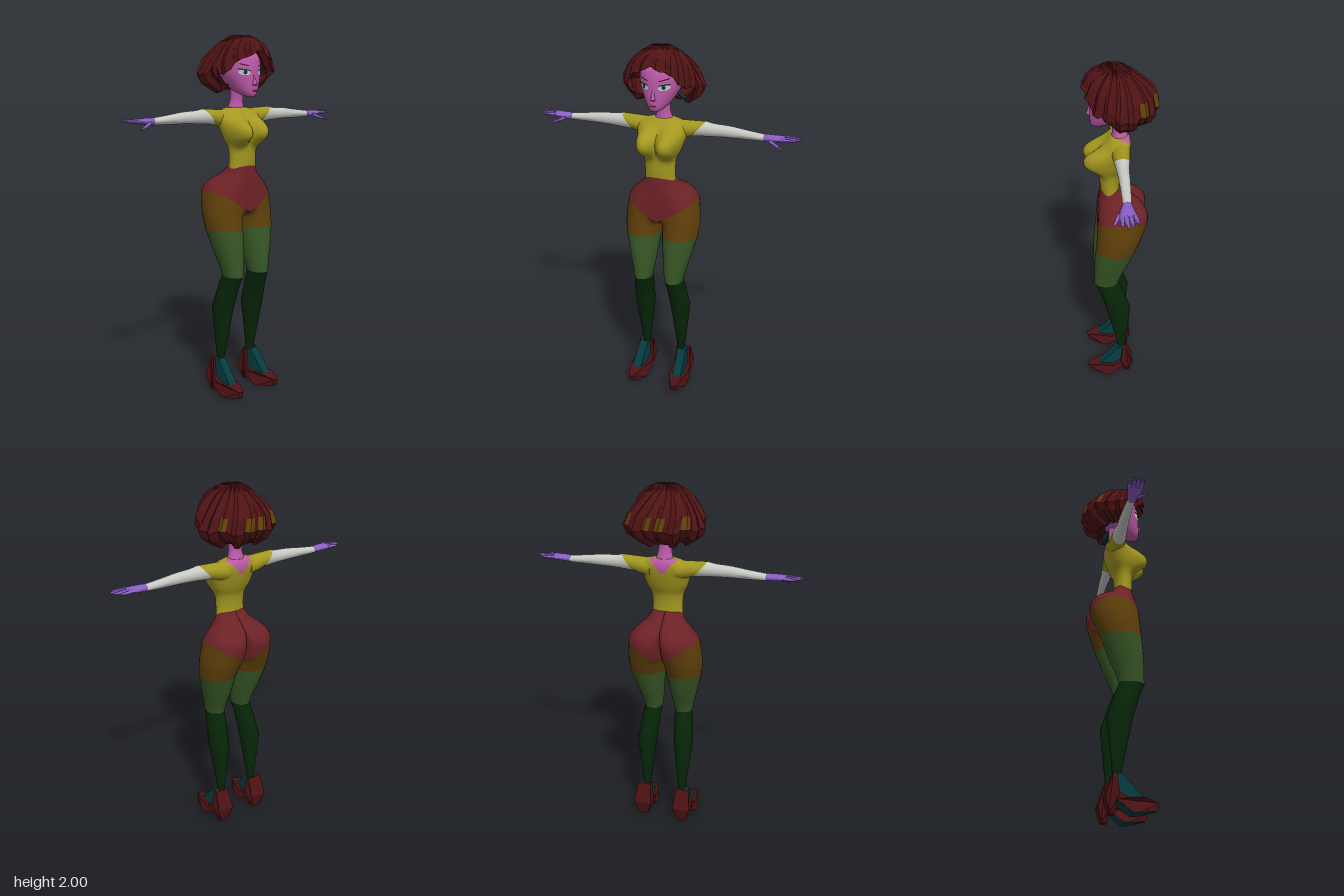
import * as THREE from 'three';
import { toCreasedNormals } from 'three/addons/utils/BufferGeometryUtils.js';

const colour = (name, hex, side = THREE.FrontSide) => {
  const m = new THREE.MeshStandardMaterial({ color: hex, side });
  m.name = name;
  return m;
};

export function createModel() {
  const model = new THREE.Group();
  model.name = 'figure';
  const shirt = colour('shirt yellow', 0xa49820, THREE.DoubleSide);
  const briefs = colour('brief red', 0x6c2226);
  const shorts = colour('shorts brown', 0x60400a, THREE.DoubleSide);
  const stocking = colour('stocking green', 0x385826);
  const boot = colour('calf dark green', 0x062608);
  const maroon = colour('hair and shoe maroon', 0x4e1214, THREE.DoubleSide);
  const teal = colour('foot teal', 0x053b3f, THREE.DoubleSide);
  const skin = colour('skin pink', 0xbc5aa8);
  const glove = colour('glove violet', 0x8a5fc4);
  const sleeve = colour('sleeve pale grey', 0xc9c9c5);

  const add = (name, geo, mat) => {
    const mesh = new THREE.Mesh(geo, mat);
    mesh.name = name;
    model.add(mesh);
  };

  // Skin a list of closed rings of points; pick() chooses a material for each quad
  function loft(name, rings, mats, { cap = true, crease = 1, pick = () => 0 } = {}) {
    const n = rings[0].length, pos = rings.flat(2);
    const lists = [].concat(mats).map(() => []);
    for (let j = 0; j < rings.length - 1; j++) {
      for (let i = 0; i < n; i++) {
        const a = j * n + i, b = j * n + (i + 1) % n, c = a + n, d = b + n;
        const mid = [0, 1, 2].map(k => (pos[a * 3 + k] + pos[b * 3 + k] + pos[c * 3 + k] + pos[d * 3 + k]) / 4);
        lists[pick(mid, j, i)].push(a, c, b, b, c, d);
      }
    }
    if (cap) {
      for (const j of [0, rings.length - 1]) {
        const centre = [0, 1, 2].map(k => rings[j].reduce((s, p) => s + p[k], 0) / n);
        const c = pos.length / 3;
        pos.push(...centre);
        for (let i = 0; i < n; i++) {
          const a = j * n + i, b = j * n + (i + 1) % n;
          lists[0].push(...(j ? [a, c, b] : [a, b, c]));
        }
      }
    }
    // Turn the faces outward whichever way the rings run
    const v = i => new THREE.Vector3().fromArray(pos, i * 3).sub(new THREE.Vector3(...rings[0][0]));
    let volume = 0;
    for (const l of lists) for (let i = 0; i < l.length; i += 3) volume += v(l[i]).dot(v(l[i + 1]).cross(v(l[i + 2])));
    if (volume < 0) for (const l of lists) l.reverse();
    const geo = new THREE.BufferGeometry();
    geo.setAttribute('position', new THREE.Float32BufferAttribute(pos, 3));
    geo.setIndex(lists.flat());
    if (Array.isArray(mats)) {
      let start = 0;
      lists.forEach((l, k) => { geo.addGroup(start, l.length, k); start += l.length; });
    }
    add(name, toCreasedNormals(geo, crease), mats);
  }

  // Smoothly add rows between given profile rows
  function dense(rows, n = 4) {
    const out = [];
    for (let j = 0; j < rows.length - 1; j++) {
      const [p, a, b, q] = [rows[Math.max(j - 1, 0)], rows[j], rows[j + 1], rows[Math.min(j + 2, rows.length - 1)]];
      for (let s = 0; s < n; s++) {
        const t = s / n;
        out.push(a.map((y, k) => y + 0.5 * t * (b[k] - p[k] + t * (2 * p[k] - 5 * y + 4 * b[k] - q[k] + t * (3 * (y - b[k]) + q[k] - p[k])))));
      }
    }
    out.push(rows.at(-1));
    return out;
  }
  const angles = n => Array.from({ length: n }, (_, i) => i / n * Math.PI * 2);

  // Upright oval ring from [y, halfWidth, zFront, zBack]
  const oval = ([y, rx, zf, zb], n = 32) => angles(n).map(a =>
    [Math.cos(a) * rx, y, (zf + zb) / 2 + Math.sin(a) * (zf - zb) / 2]);

  // Shirt body with a rounded bust, and a skin V at the nape
  const torso = dense([[1.29, .087, .1, -.002], [1.35, .085, .104, 0], [1.41, .091, .103, -.008], [1.46, .113, .1, -.03],
    [1.52, .133, .098, -.05], [1.57, .148, .075, -.06], [1.6, .125, .055, -.056], [1.618, .06, .04, -.048]], 5);
  const bust = ([x, y, z]) => {
    const d = ((Math.abs(x) - .064) / .06) ** 2 + ((y - 1.487) / (y > 1.487 ? .078 : .062)) ** 2;
    return [x, y, z + THREE.MathUtils.clamp((z - .03) / .04, 0, 1) * .095 * Math.exp(-(d ** 1.35))];
  };
  loft('shirt', torso.map(r => oval(r, 56).map(bust)), [shirt, skin],
    { pick: ([x, y, z]) => (z < -.005 && y > 1.545 && Math.abs(x) < (y - 1.535) * .9 ? 1 : 0) });

  // Neck and head
  loft('neck', dense([[1.59, .055, .04, -.045], [1.62, .046, .038, -.044], [1.66, .036, .036, -.034], [1.74, .038, .05, -.035]], 3)
    .map(r => oval(r, 20)), skin);
  const headRows = dense([[1.675, .014, .135, .1], [1.685, .034, .145, .06], [1.71, .06, .148, 0], [1.745, .083, .149, -.05],
    [1.79, .104, .147, -.08], [1.84, .113, .145, -.1], [1.89, .105, .13, -.1], [1.94, .06, .08, -.05]]);
  loft('head', headRows.map(r => oval(r)), skin);
  const faceZ = (x, y) => {
    const j = Math.max(1, headRows.findIndex(r => r[0] >= y)), [a, b] = [headRows[j - 1], headRows[j]];
    const t = (y - a[0]) / (b[0] - a[0]);
    const [, rx, zf, zb] = a.map((q, k) => q + (b[k] - q) * t);
    return (zf + zb) / 2 + (zf - zb) / 2 * Math.sqrt(Math.max(0, 1 - (x / rx) ** 2));
  };

  // Thin facial details laid over the curve of the face
  function decal(name, x, y, w, h, tilt, mat, lift) {
    const geo = new THREE.CircleGeometry(1, 18).scale(w, h, 1).rotateZ(tilt).translate(x, y, 0);
    const p = geo.attributes.position;
    for (let i = 0; i < p.count; i++) p.setZ(i, faceZ(p.getX(i), p.getY(i)) + lift);
    geo.computeVertexNormals();
    add(name, geo, mat);
  }
  for (const s of [1, -1]) {
    decal('eye', s * .054, 1.803, .028, .014, s * .15, sleeve, .003);
    decal('iris', s * .053, 1.804, .009, .011, 0, teal, .005);
    decal('lashes', s * .055, 1.817, .03, .0035, s * .15, teal, .005);
    decal('eyebrow', s * .055, 1.842, .028, .003, s * .25, maroon, .004);
  }
  decal('lips', 0, 1.708, .02, .006, 0, briefs, .004);
  loft('nose', [[1.735, .013, .152, .13], [1.742, .014, .166, .13], [1.755, .01, .162, .13], [1.79, .006, .149, .13]]
    .map(r => oval(r, 10)), skin);

  // Bobbed hair: ridged locks falling from the crown, short over the forehead.
  // Rows hold the height, then the reach at the sides, back and fringe
  const locks = 18;
  const hairProfile = [[1.99, 0, 0, 0], [1.988, .25, .22, .28], [1.96, .5, .46, .53], [1.912, .67, .75, .72], [1.86, .83, .96, .86],
    [1.795, 1.01, 1, .96], [1.75, .93, .88, .98], [1.705, .64, .58, .99], [1.745, .42, .42, .97]];
  const hairRings = hairProfile.map(([y, sideReach, backReach, fringe], j) => angles(locks * 3).map((a, i) => {
    const off = Math.abs(a > Math.PI ? a - Math.PI * 2 : a), lock = Math.floor(i / 3);
    const front = THREE.MathUtils.clamp((1.5 - off) / .35, 0, 1);
    const end = THREE.MathUtils.lerp(1.705, 1.915 - off * .105, front) + .014 * Math.sin(lock * 2.4);
    const twist = a + (1 - sideReach) * .4 * (1 - front * j / 8);
    const c = Math.cos(twist);
    const full = THREE.MathUtils.lerp(sideReach, backReach, Math.max(0, -c));
    const radius = THREE.MathUtils.lerp(full, fringe, front) * [.95, 1.04, 1][i % 3];
    const drop = front > 0 && j === 8 ? 1.705 : y;
    const fall = 1.99 - (1.99 - drop) * (1.99 - end) / .285 + (j < 2 && i % 3 === 1 ? .008 : 0);
    return [Math.sin(twist) * radius * .213, fall, c * radius * (c > 0 ? .172 : .195) + (1 - sideReach) * (.04 - .01 * front)];
  }));
  const paleLocks = [6, 8, 9, 11];
  loft('hair', hairRings, [maroon, shorts, teal], { cap: false, crease: .1,
    pick: ([x, , z], j, i) => {
      if (j === 7 && z < .02 && z > -.07 && Math.abs(x) > .07) return 2;
      return j === 4 && paleLocks.includes(Math.floor(i / 3)) && i % 3 < 2 ? 1 : 0;
    } });

  // Leg ring from [y, centreX, innerReach, outerReach, zFront, zBack, tilt];
  // above the crotch the inner half squares off so that both sides join
  const legRing = s => ([y, cx, ri, ro, zf, zb, k = 0]) => angles(28).map(a => {
    const c = Math.cos(a), n = Math.sin(a);
    const inner = n > 0 ? THREE.MathUtils.clamp((1.11 - y) / .08, 0, 1) : THREE.MathUtils.clamp((1.25 - y) / .2, .1, 1);
    const power = c < 0 ? inner : 1;
    const x = cx + c * (c > 0 ? ro : ri);
    return [s * x, y + k * (x - cx), (zf + zb) / 2 + Math.sign(n) * Math.abs(n) ** power * (zf - zb) / 2];
  });
  const briefLine = [1.11, .095, .095, .101, .122, -.147, .62];
  const shortsHem = [.96, .105, .097, .102, .135, -.09, 0];
  const knee = [.7, .092, .051, .051, .148, .01, 0];

  // Arm ring from [x, centreY, centreZ, halfHeight, halfDepth, tilt]
  const armRing = s => ([x, cy, cz, ry, rz, k = 0]) => angles(16).map(a =>
    [s * (x + k * ry * Math.cos(a)), cy + ry * Math.cos(a), cz + rz * Math.sin(a)]);
  const cuff = [.198, 1.573, -.002, .043, .04, .87];

  // Shoe and foot: side outlines in z, y given width across x and tapered to toe and heel
  function footPart(name, s, outline, width, mat) {
    const shape = new THREE.Shape(outline.map(p => new THREE.Vector2(...p)));
    const geo = new THREE.ExtrudeGeometry(shape, { depth: width, bevelEnabled: false }).translate(0, 0, -width / 2).rotateY(-Math.PI / 2);
    const p = geo.attributes.position;
    for (let i = 0; i < p.count; i++) {
      const y = p.getY(i), z = p.getZ(i);
      const taper = z > .1 ? 1 - (z - .1) * 7.5 : z < 0 && y < .05 ? .5 : 1 - Math.max(0, y - .07) * 1.8;
      p.setX(i, s * .121 + p.getX(i) * taper + s * Math.max(0, z) * .06);
    }
    geo.computeVertexNormals();
    add(name, geo, mat);
  }

  for (const s of [1, -1]) {
    const side = s > 0 ? 'left' : 'right';
    const leg = (name, rows, mat, n = 4) => loft(side + name, dense(rows, n).map(legRing(s)), mat);
    leg('Briefs', [briefLine, [1.165, .07, .07, .103, .118, -.15, .38], [1.215, .04, .04, .1, .113, -.12, .2],
      [1.262, .012, .012, .093, .108, -.06, .05], [1.315, 0, 0, .08, .1, 0, 0]], briefs);
    leg('Shorts', [shortsHem, [1.03, .1, .098, .112, .128, -.118, .2], briefLine], shorts);
    leg('Thigh', [knee, [.76, .092, .06, .064, .147, -.01, 0], [.85, .098, .077, .082, .145, -.05, 0], shortsHem], stocking);
    leg('Calf', [[.19, .11, .02, .02, .012, -.028, 0], [.5, .109, .054, .056, .08, -.06, 0],
      [.64, .097, .05, .054, .122, -.015, 0], knee], boot, 1);

    footPart(side + 'Shoe', s, [[.2, .058], [.12, .08], [.05, .075], [0, .1], [-.012, .2], [-.032, .2], [-.072, .085],
      [-.052, 0], [-.02, 0], [-.012, .067], [.03, .029], [.065, .004], [.1, .006], [.19, .022]], .106, maroon);
    footPart(side + 'Sole', s, [[.188, .022], [.1, .006], [.065, .004], [.03, .029], [-.01, .066],
      [-.01, .062], [.03, .025], [.065, 0], [.1, .002], [.188, .018]], .1, teal);
    footPart(side + 'Foot', s, [[.016, .2], [-.02, .2], [-.012, .08], [.05, .06], [.13, .073]], .066, teal);

    const arm = (name, rows, mat, n = 3) => loft(side + name, dense(rows, n).map(armRing(s)), mat);
    arm('CapSleeve', [[.07, 1.56, -.005, .05, .05, 0], [.135, 1.565, -.003, .048, .046, .4], cuff], shirt);
    arm('Sleeve', [cuff, [.27, 1.573, -.002, .035, .032, .3], [.36, 1.573, -.004, .031, .028, 0],
      [.46, 1.567, -.004, .024, .024, 0], [.55, 1.563, -.003, .018, .021, 0]], sleeve);
    arm('Palm', [[.545, 1.563, -.003, .02, .023, 0], [.59, 1.566, 0, .017, .033, 0], [.635, 1.568, -.002, .013, .041, 0],
      [.655, 1.569, -.002, .009, .038, 0]], glove);
    // Fingers, then thumb: root x, y, z to tip x, y, z
    [[.635, 1.569, -.03, .7, 1.572, -.044], [.64, 1.57, -.011, .728, 1.574, -.02], [.64, 1.57, .009, .735, 1.573, .004],
      [.635, 1.568, .027, .717, 1.57, .028], [.575, 1.558, .022, .655, 1.53, .064]].forEach(([x, y, z, u, v, w], i) => {
      arm(i < 4 ? 'Finger' : 'Thumb', [[x, y, z, .01, .0115, 0], [(x + u) / 2, (y + v) / 2, (z + w) / 2, .009, .0105, 0],
        [u, v, w, .004, .005, 0]], glove, 2);
    });
  }
  return model;
}
